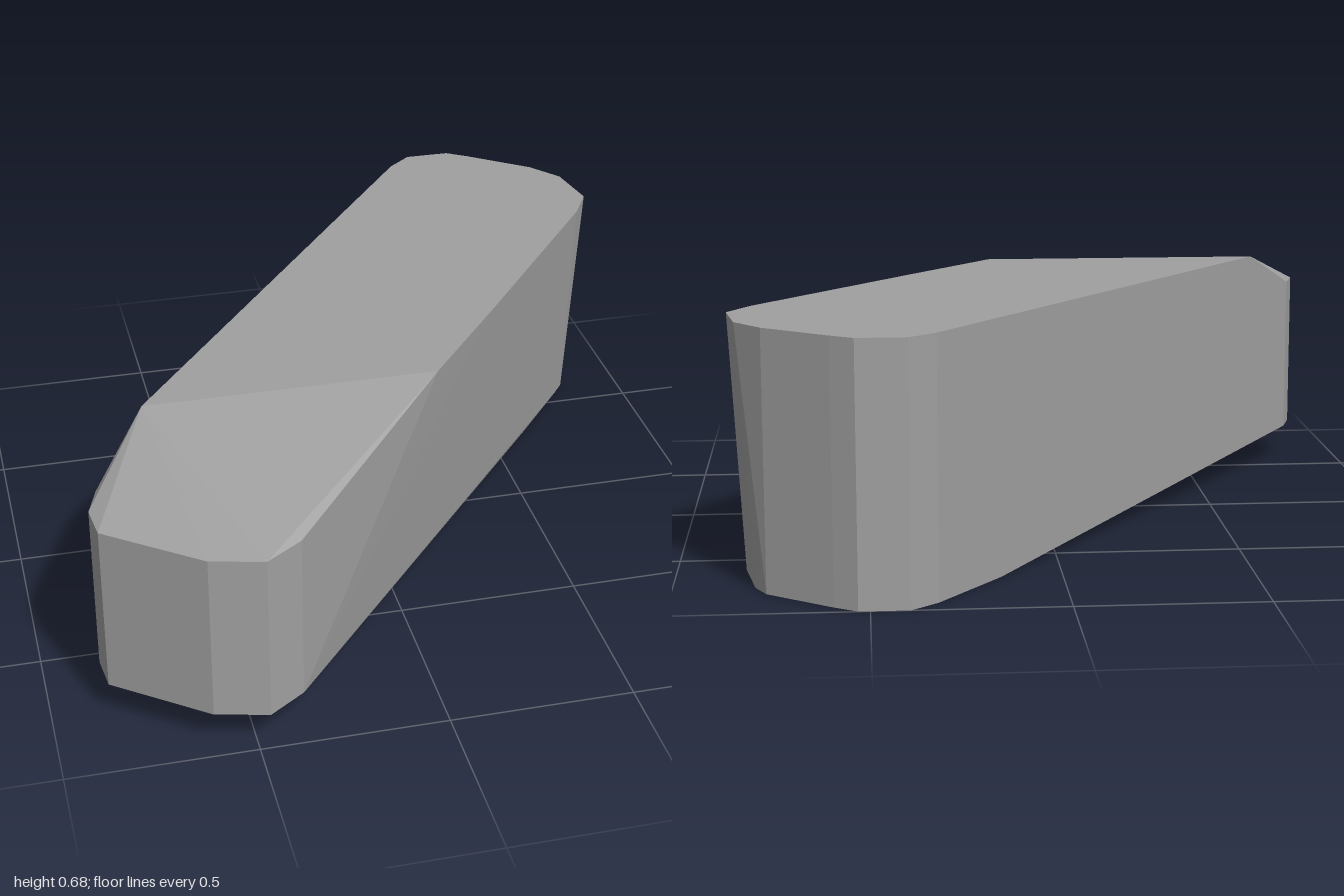
import * as THREE from 'three';
import { ConvexGeometry } from 'three/addons/geometries/ConvexGeometry.js';

// Faceted diagonal block: outlines at four heights, joined by a convex skin.
export function createModel() {
  const group = new THREE.Group();
  group.name = 'block';
  const grey = new THREE.MeshStandardMaterial({ color: 0xa0a0a0 });
  grey.name = 'stone grey';

  // Rounded front end, shared by the upper and lower rims
  const nose = [[-0.83, 0.59], [-0.86, 0.68], [-0.85, 0.78], [-0.61, 0.965],
    [-0.47, 1], [-0.37, 0.93]];
  // Flat top, with the crease where it slopes down to the nose
  const top = [[0.33, -0.94], [0.4, -1], [0.53, -1], [0.59, -0.96], [0.76, -0.83],
    [0.83, -0.74], [0.857, -0.58], [0.8, -0.48], [0.36, 0.085], [0.18, 0.31],
    [0.125, 0.38], [-0.675, 0.38]];
  // Flat base under the rear half, slightly narrower on the left side
  const base = [[0.16, -0.72], [0.33, -0.94], [0.4, -1], [0.53, -1], [0.59, -0.96],
    [0.76, -0.83], [0.79, -0.77], [0.82, -0.6], [0.79, -0.56], [0.62, -0.35]];

  const ring = (outline, y) => outline.map(([x, z]) => new THREE.Vector3(x, y, z));
  const geometry = new ConvexGeometry([
    ...ring(top, 0.68), ...ring(nose, 0.57), ...ring(nose, 0.105), ...ring(base, 0),
  ]);
  const body = new THREE.Mesh(geometry, grey);
  body.name = 'body';
  group.add(body);
  return group;
}
